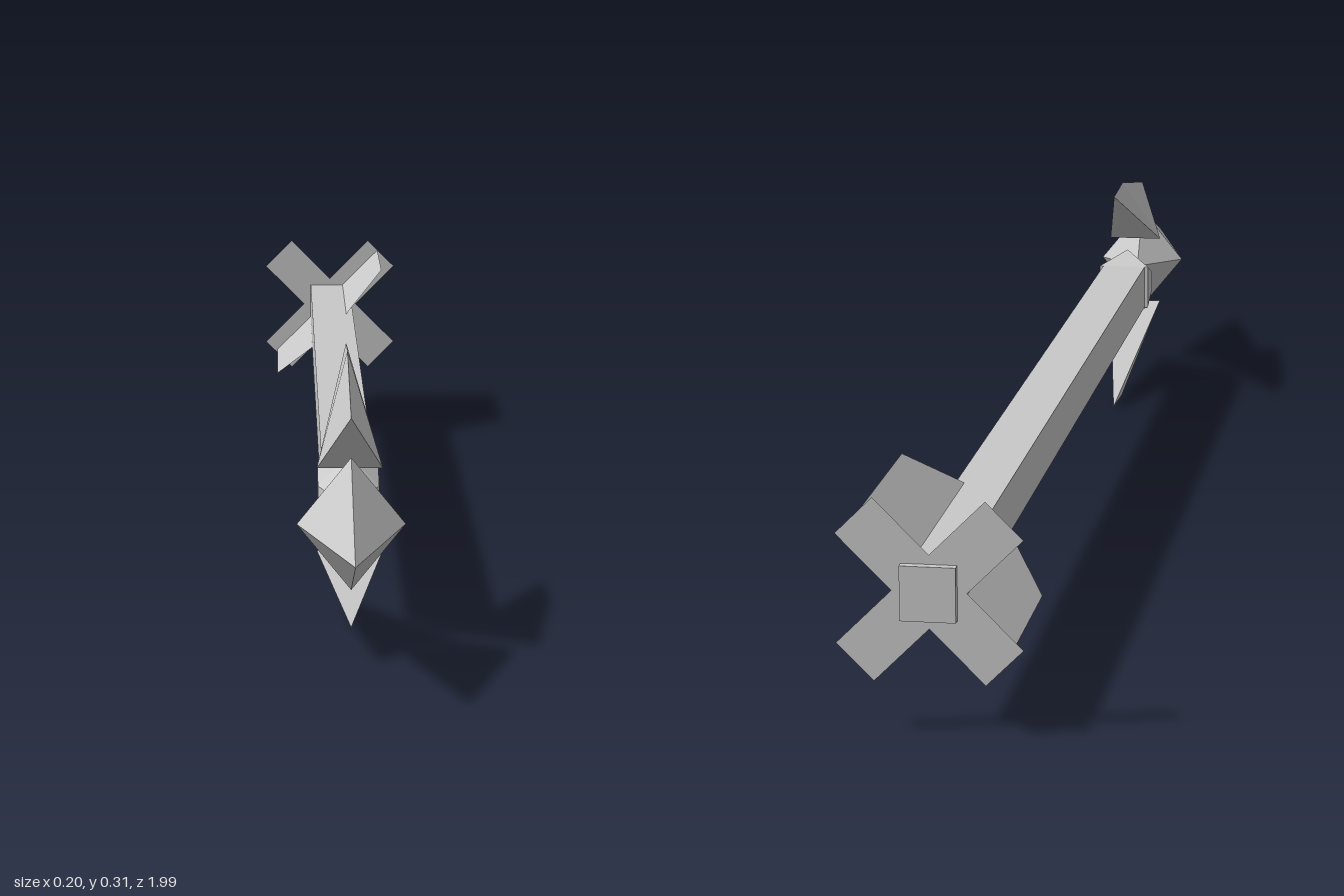
import * as THREE from 'three';
import { ConvexGeometry } from 'three/addons/geometries/ConvexGeometry.js';

const AXIS_Y = 0.159; // height of the shaft axis

export function createModel() {
  const model = new THREE.Group();
  model.name = 'arrow';
  const arrow = new THREE.Group();
  arrow.name = 'arrowBody';
  arrow.position.y = AXIS_Y;
  model.add(arrow);

  const grey = new THREE.MeshStandardMaterial({ color: 0xc8c8c8, side: THREE.DoubleSide });
  grey.name = 'grey';

  const add = (name, geometry) => {
    const mesh = new THREE.Mesh(geometry, grey);
    mesh.name = name;
    arrow.add(mesh);
    return mesh;
  };
  // Faceted solid from its corner points
  const solid = (name, corners) =>
    add(name, new ConvexGeometry(corners.map((c) => new THREE.Vector3(...c))));

  // Square shaft
  const shaft = add('shaft', new THREE.BoxGeometry(0.06, 0.06, 1.56));
  shaft.position.z = -0.215;

  // Pointed collar on the front of the shaft
  const collar = [[0, 0, 0.68], [0, 0.047, 0.6], [0, -0.047, 0.6]];
  for (const x of [-1, 1]) for (const y of [-1, 1]) {
    collar.push([x * 0.035, y * 0.03, 0.56], [x * 0.035, y * 0.012, 0.61]);
  }
  solid('collar', collar);

  // Floating diamond tip
  solid('tip', [
    [0, 0, 1], [0, 0, 0.71],
    [0.06, 0, 0.77], [-0.06, 0, 0.77],
    [0, 0.074, 0.77], [0, -0.074, 0.77],
  ]);

  // Floating swept barbs above and below
  for (const [name, s] of [['upperBarb', 1], ['lowerBarb', -1]]) {
    solid(name, [
      [0, s * 0.117, 0.767],
      [0.037, s * 0.047, 0.687], [-0.037, s * 0.047, 0.687],
      [0, s * 0.157, 0.54],
      [0, s * 0.153, 0.45],
    ]);
  }

  // Diagonal vane through the rear of the shaft
  const outline = [
    [-0.111, -0.985], [0.111, -0.985], [0.111, -0.745],
    [0.036, -0.66], [-0.036, -0.66], [-0.111, -0.745],
  ].map((p) => new THREE.Vector2(...p));
  const vane = new THREE.ShapeGeometry(new THREE.Shape(outline));
  vane.rotateX(Math.PI / 2).rotateZ(Math.PI / 4);
  add('vane', vane).position.set(-0.004, 0.006, 0);

  // Flat cross at the tail
  for (const s of [-1, 1]) {
    const arm = add('tailCrossArm', new THREE.PlaneGeometry(0.226, 0.057));
    arm.rotation.z = (s * Math.PI) / 4;
    arm.position.z = -0.985;
  }

  return model;
}
